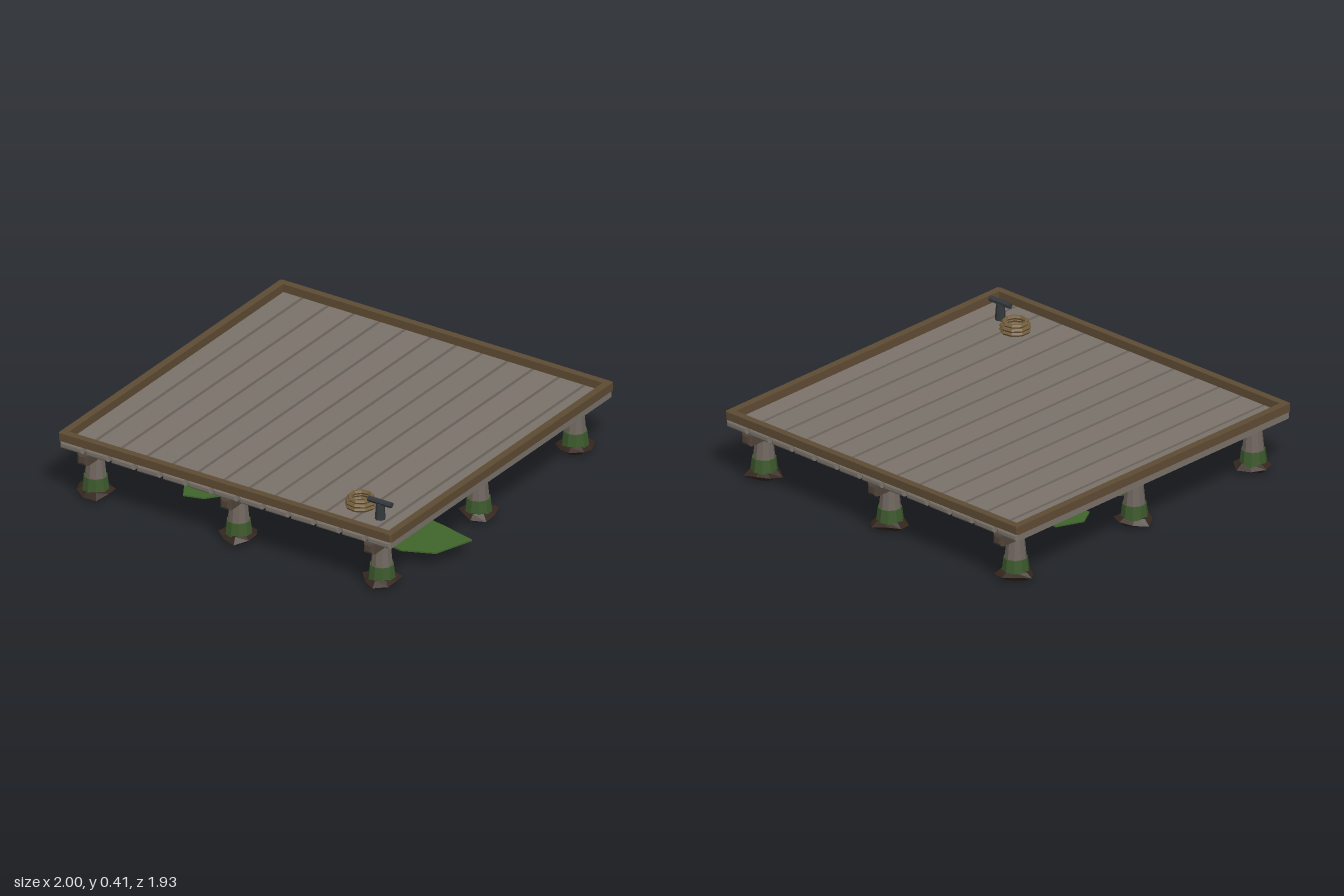
import * as THREE from 'three';

const mat = (color, side = THREE.FrontSide) =>
  new THREE.MeshStandardMaterial({ color, flatShading: true, roughness: 0.9, side });

const M = {
  plank: mat(0x7b736b), trim: mat(0x5f4c34), joist: mat(0x50443a), post: mat(0x70665f),
  moss: mat(0x3c592c), mud: mat(0x35271f), leaf: mat(0x41652b, THREE.DoubleSide),
  rope: mat(0x75603e), iron: mat(0x33383c),
};

function add(parent, name, geometry, material, x = 0, y = 0, z = 0) {
  const mesh = new THREE.Mesh(geometry, material);
  mesh.name = name;
  mesh.position.set(x, y, z);
  parent.add(mesh);
  return mesh;
}

// Bar along z with chamfered edges and ends, centred on the origin
function bar(w, h, length, c) {
  const a = w / 2 - c, b = h / 2 - c;
  const s = new THREE.Shape();
  s.moveTo(-a, -b);
  s.lineTo(a, -b);
  s.lineTo(a, b);
  s.lineTo(-a, b);
  s.closePath();
  const g = new THREE.ExtrudeGeometry(s, {
    depth: length - 2 * c, bevelEnabled: true, bevelSize: c, bevelThickness: c, bevelSegments: 2,
  });
  return g.translate(0, 0, c - length / 2);
}

// Irregular mound: a coarse lathe pushed in and out around its axis
function mound(seed) {
  const profile = [[0, 0.006], [0.06, 0.012], [0.095, 0.034], [0.066, 0.056], [0, 0.056]];
  const g = new THREE.LatheGeometry(profile.map(([r, y]) => new THREE.Vector2(r, y)), 8);
  const p = g.attributes.position;
  for (let i = 0; i < p.count; i++) {
    const x = p.getX(i), z = p.getZ(i), a = Math.atan2(x, z);
    const k = 1 + 0.13 * Math.sin(3 * a + seed);
    const lift = Math.hypot(x, z) > 0.08 ? 0.009 * Math.sin(2 * a + seed * 1.7) : 0;
    p.setXYZ(i, x * k, p.getY(i) + lift, z * k);
  }
  g.computeVertexNormals();
  return g;
}

// Thin flat leaf from its outline in x and z
function leaf(points) {
  const s = new THREE.Shape(points.map(([x, z]) => new THREE.Vector2(x, -z)));
  return new THREE.ExtrudeGeometry(s, { depth: 0.008, bevelEnabled: false }).rotateX(-Math.PI / 2);
}

export function createModel() {
  const model = new THREE.Group();
  model.name = 'dock';
  const cx = -0.033, columns = [-0.865, cx, 0.8], rows = [-0.835, 0.005, 0.845];

  // Deck planks, each a little warped
  const deck = new THREE.Group();
  deck.name = 'deck';
  model.add(deck);
  for (let i = 0; i < 13; i++) {
    const plank = add(deck, 'plank', bar(0.132, 0.036, 1.935, 0.01), M.plank,
      cx + (i - 6) * 0.149, 0.297, 0);
    plank.rotation.z = 0.012 * Math.sin(i * 2.3);
  }

  // Raised border around the deck
  const border = new THREE.Group();
  border.name = 'border';
  model.add(border);
  for (const s of [-1, 1]) {
    add(border, 'sideTrim', bar(0.038, 0.044, 1.935, 0.008), M.trim, cx + s * 0.948, 0.339, 0);
    const end = add(border, 'endTrim', bar(0.038, 0.043, 1.93, 0.008), M.trim, cx, 0.339, s * 0.948);
    end.rotation.y = Math.PI / 2;
  }

  // Joists under the planks
  for (const x of columns) add(model, 'joist', bar(0.06, 0.062, 1.935, 0.015), M.joist, x, 0.25, 0);

  // Nine posts with a mossy collar and a mound of mud
  columns.forEach((x, i) => rows.forEach((z, j) => {
    const pile = new THREE.Group();
    pile.name = 'pile';
    pile.position.set(x, 0, z);
    model.add(pile);
    const turn = (i * 3 + j) * 0.7;
    add(pile, 'post', new THREE.CylinderGeometry(0.045, 0.062, 0.18, 10), M.post, 0, 0.13, 0);
    add(pile, 'mossCollar', new THREE.CylinderGeometry(0.06, 0.069, 0.072, 10), M.moss, 0, 0.082, 0);
    add(pile, 'mudMound', mound(turn * 3), M.mud).rotation.y = turn;
  }));

  // Floating leaves
  const leaves = [
    [[0.57, 0.5], [0.63, 0.28], [0.8, 0.31], [1.0, 0.36], [0.93, 0.57], [0.77, 0.64], [0.6, 0.61]],
    [[-0.28, 0.1], [-0.25, -0.04], [-0.1, -0.03], [-0.05, 0.12], [-0.1, 0.27], [-0.25, 0.28]],
    [[-0.51, 0.6], [-0.42, 0.49], [-0.3, 0.54], [-0.24, 0.62], [-0.32, 0.72], [-0.42, 0.75]],
    [[-0.8, -0.28], [-0.74, -0.42], [-0.64, -0.41], [-0.58, -0.3], [-0.64, -0.18], [-0.75, -0.19]],
    [[-0.79, 0.13], [-0.72, 0.05], [-0.64, 0.04], [-0.6, 0.12], [-0.66, 0.21], [-0.74, 0.2]],
  ];
  leaves.forEach((outline, i) => add(model, 'floatingLeaf', leaf(outline), M.leaf, 0, 0.086 + 0.001 * i, 0));

  // Coiled rope: stacked rings
  const coil = new THREE.Group();
  coil.name = 'ropeCoil';
  coil.position.set(0.595, 0, 0.722);
  model.add(coil);
  for (const [r, y] of [[0.067, 0.328], [0.066, 0.348], [0.056, 0.366]]) {
    add(coil, 'ropeRing', new THREE.TorusGeometry(r, 0.012, 6, 9).rotateX(Math.PI / 2), M.rope, 0, y, 0);
  }

  // Mooring cleat
  const cleat = new THREE.Group();
  cleat.name = 'mooringCleat';
  cleat.position.set(0.743, 0, 0.775);
  model.add(cleat);
  add(cleat, 'cleatStem', new THREE.CylinderGeometry(0.021, 0.027, 0.085, 8), M.iron, 0, 0.355, 0);
  add(cleat, 'cleatBar', new THREE.CylinderGeometry(0.015, 0.015, 0.135, 7).rotateZ(Math.PI / 2),
    M.iron, 0, 0.405, 0);

  return model;
}
